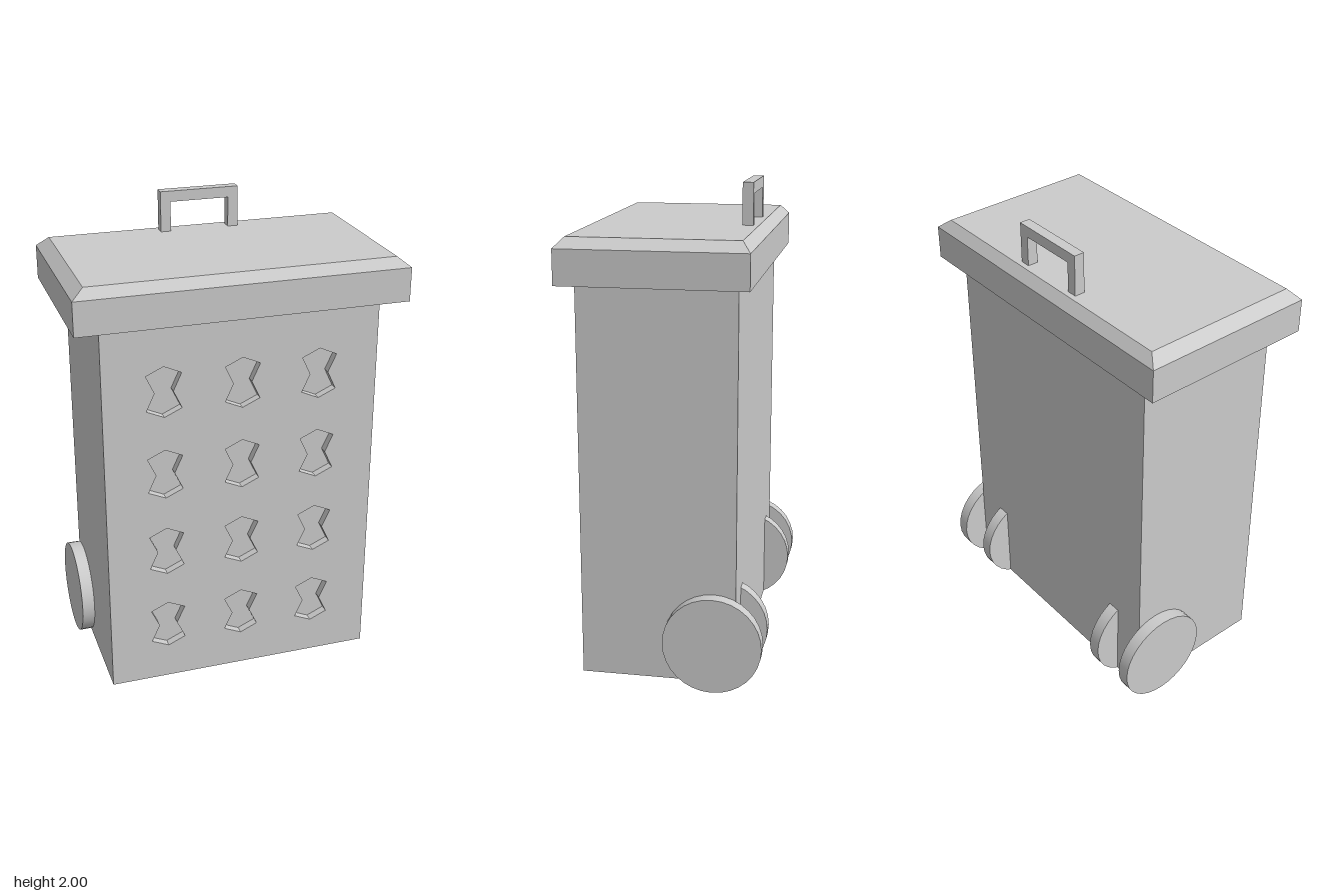
import * as THREE from 'three';

const material = new THREE.MeshStandardMaterial({ color: 0xcccccc });

function addMesh(parent, name, geometry, x = 0, y = 0, z = 0) {
  const mesh = new THREE.Mesh(geometry, material);
  mesh.name = name;
  mesh.position.set(x, y, z);
  parent.add(mesh);
  return mesh;
}

const toPoints = (pairs) => pairs.map(([x, y]) => new THREE.Vector2(x, y));

// Bin body: solid box behind a front panel pierced by notched cut-outs
function buildBody() {
  const body = new THREE.Group();
  body.name = 'body';
  const halfW = 0.575, bottom = 0.023, top = 1.65;
  const back = -0.29, front = 0.345, recess = 0.035;

  const depth = front - recess - back;
  addMesh(body, 'bodyShell', new THREE.BoxGeometry(halfW * 2, top - bottom, depth),
    0, (top + bottom) / 2, back + depth / 2);

  const panel = new THREE.Shape(toPoints([
    [-halfW, bottom], [halfW, bottom], [halfW, top], [-halfW, top],
  ]));
  const notch = [
    [0, 0.108], [-0.073, 0.075], [-0.038, 0], [-0.073, -0.075],
    [0, -0.108], [0.073, -0.075], [0.038, 0], [0.073, 0.075],
  ];
  for (const cy of [0.285, 0.645, 1.003, 1.363]) {
    for (const cx of [-0.325, 0, 0.325]) {
      panel.holes.push(new THREE.Path(toPoints(notch.map(([x, y]) => [x + cx, y + cy]))));
    }
  }
  addMesh(body, 'frontPanel',
    new THREE.ExtrudeGeometry(panel, { depth: recess, bevelEnabled: false }),
    0, 0, front - recess);
  return body;
}

// Lid: overhanging slab with its top edges chamfered
function buildLidGeometry() {
  const box = new THREE.BoxGeometry(2, 2, 2, 1, 2, 1);
  const p = box.attributes.position;
  for (let i = 0; i < p.count; i++) {
    const level = Math.round(p.getY(i)) + 1;
    const inset = level === 2 ? 1 : 0;
    const x = Math.sign(p.getX(i)) * (0.68 - 0.05 * inset);
    const z = p.getZ(i) > 0 ? 0.4 - 0.037 * inset : -0.345 + 0.035 * inset;
    p.setXYZ(i, x, [1.65, 1.79, 1.83][level], z);
  }
  const lid = box.toNonIndexed();
  lid.computeVertexNormals();
  return lid;
}

// Handle: square arch standing near the back of the lid
function buildHandleGeometry() {
  const arch = new THREE.Shape(toPoints([
    [-0.168, 1.82], [-0.125, 1.82], [-0.125, 1.955], [0.125, 1.955],
    [0.125, 1.82], [0.168, 1.82], [0.168, 2], [-0.168, 2],
  ]));
  return new THREE.ExtrudeGeometry(arch, { depth: 0.044, bevelEnabled: false });
}

export function createModel() {
  const bin = new THREE.Group();
  bin.name = 'wheeledBin';

  bin.add(buildBody());
  addMesh(bin, 'lid', buildLidGeometry());
  addMesh(bin, 'handle', buildHandleGeometry(), 0, 0, -0.287);

  // Wheels: an outer and an inner disc on each side
  const wheel = new THREE.CylinderGeometry(0.202, 0.202, 0.054, 32).rotateZ(Math.PI / 2);
  for (const [side, sign] of [['left', 1], ['right', -1]]) {
    addMesh(bin, side + 'OuterWheel', wheel, sign * 0.602, 0.203, -0.2);
    addMesh(bin, side + 'InnerWheel', wheel, sign * 0.407, 0.203, -0.2);
  }
  return bin;
}
